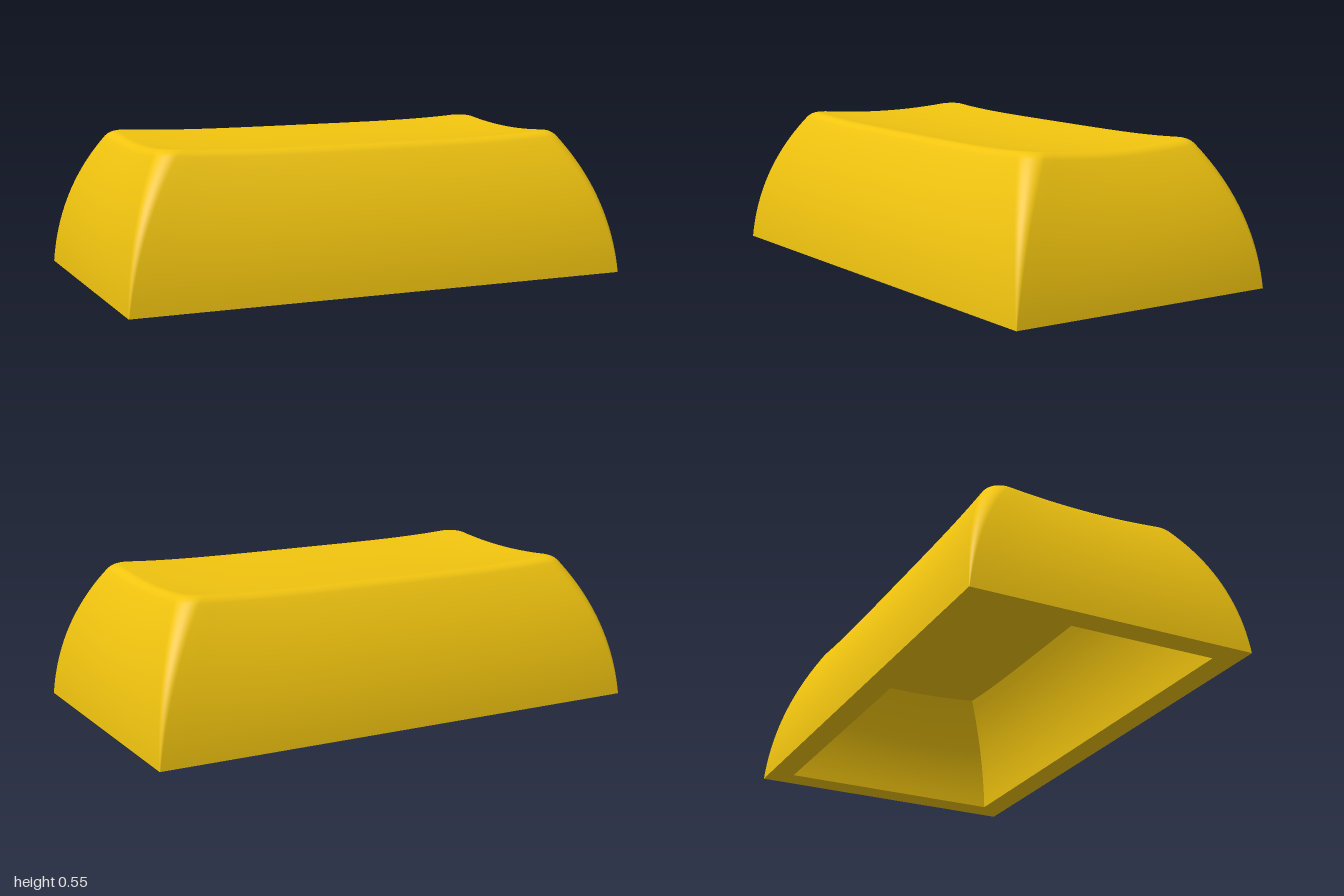
import * as THREE from 'three';
import { toCreasedNormals } from 'three/addons/utils/BufferGeometryUtils.js';

const HALF_W = 1, HALF_D = 0.56, WALL = 0.1, LIP = 0.028;

// Height of the dished top, rising towards the corners
const topHeight = (x, z) => 0.52 + 0.018 * Math.pow(Math.abs(x) / 0.8, 4) + 0.02 * (z / 0.35) ** 2;
// How far the curved walls lean in at height y
const lean = y => 0.06 * y + 0.51 * y * y;

// Rounded rectangle outline, running from +x towards +z; arc = 0 gives sharp corners
function outline(inset, radius, arc) {
  const w = HALF_W - inset, d = HALF_D - inset, pts = [];
  const corners = [[1, 1], [-1, 1], [-1, -1], [1, -1]];
  const corner = (i, k) => {
    const [sx, sz] = corners[i % 4];
    if (!arc) return [sx * w, sz * d];
    const a = (i + k / arc) * Math.PI / 2;
    return [sx * (w - radius) + radius * Math.cos(a), sz * (d - radius) + radius * Math.sin(a)];
  };
  for (let i = 0; i < 4; i++) {
    for (let k = 0; k <= arc; k++) pts.push(corner(i, k));
    const a = corner(i, arc), b = corner(i + 1, 0), n = i % 2 ? 16 : 28;
    for (let k = 1; k < n; k++) pts.push([a[0] + (b[0] - a[0]) * k / n, a[1] + (b[1] - a[1]) * k / n]);
  }
  return pts;
}

// Joins successive closed rings of [x, y, z] points into a skin
function skin(rings) {
  const n = rings[0].length, index = [];
  for (let i = 0; i + 1 < rings.length; i++) {
    for (let j = 0; j < n; j++) {
      const a = i * n + j, b = i * n + (j + 1) % n;
      index.push(a, a + n, b, b, a + n, b + n);
    }
  }
  const geo = new THREE.BufferGeometry();
  geo.setAttribute('position', new THREE.Float32BufferAttribute(rings.flat(2), 3));
  geo.setIndex(index);
  geo.computeVertexNormals();
  return geo;
}

// Ring on a wall, at fraction s of the local height
const wallRing = (s, offset, drop, radius, arc) => {
  const inset = offset + lean(s * (0.545 - drop));
  return outline(inset, radius, arc).map(([x, z]) => [x, s * (topHeight(x, z) - drop), z]);
};

// Rings of a dished sheet shrinking to its centre
const sheetRings = (ring, drop, steps) => Array.from({ length: steps }, (_, i) => {
  const k = 1 - (i + 1) / steps;
  return ring.map(([x, , z]) => [x * k, topHeight(x * k, z * k) - drop, z * k]);
});

export function createModel() {
  const group = new THREE.Group();
  const material = new THREE.MeshStandardMaterial({ color: 0xf1c40f });
  const add = (name, geo) => {
    const mesh = new THREE.Mesh(geo, material);
    mesh.name = name;
    group.add(mesh);
  };

  // Outer walls, with corners that go from sharp to round on the way up
  const outer = [];
  for (let i = 0; i <= 20; i++) outer.push(wallRing(i / 20, 0, LIP, 0.002 + 0.065 * i / 20, 8));
  // Soft edge around the top
  const start = lean(0.545 - LIP);
  for (let i = 1; i <= 6; i++) {
    const t = i / 6, inset = start + 2 * t * (1 - t) * 0.019 + t * t * 0.048;
    outer.push(outline(inset, 0.067, 8).map(([x, z]) => [x, topHeight(x, z) - LIP * (1 - t) ** 2, z]));
  }
  // Dished top
  outer.push(...sheetRings(outer.at(-1), 0, 16));
  add('outerShell', skin(outer));

  // Hollow underside: ceiling from its centre outwards, then walls down to the opening
  const inner = [];
  for (let i = 0; i <= 16; i++) inner.push(wallRing(i / 16, WALL, WALL, 0, 0));
  inner.push(...sheetRings(inner.at(-1), WALL, 12));
  add('innerCavity', toCreasedNormals(skin(inner.reverse()), 0.6));

  // Flat bottom rim
  const flat = inset => outline(inset, 0, 0).map(([x, z]) => [x, 0, z]);
  add('bottomRim', skin([flat(WALL), flat(0)]));

  return group;
}
